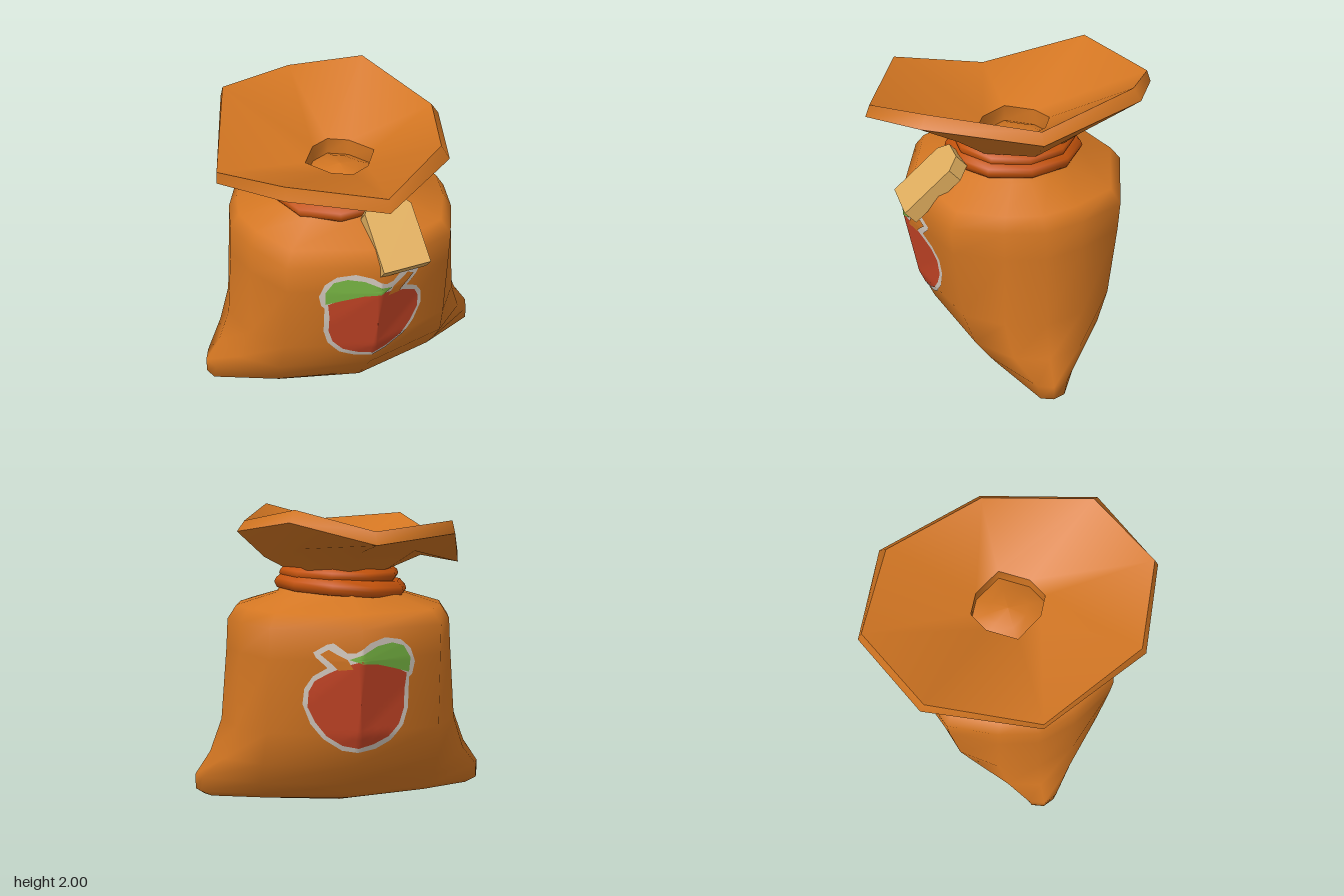
import * as THREE from 'three';

const mat = (name, color) => new THREE.MeshStandardMaterial({ name, color });
const V = (x, y, z) => new THREE.Vector3(x, y, z);

// Skin through closed loops of equal length (loops run from +x towards +z)
function loft(rows) {
  const n = rows[0].length, index = [];
  for (let r = 0; r < rows.length - 1; r++) {
    for (let i = 0; i < n; i++) {
      const a = r * n + i, b = r * n + (i + 1) % n, c = a + n, d = b + n;
      index.push(a, c, b, b, c, d);
    }
  }
  const g = new THREE.BufferGeometry().setFromPoints(rows.flat());
  g.setIndex(index);
  g.computeVertexNormals();
  return g;
}

// Full loop from a half (+x over +z to -x) or a quarter (+x to +z)
function mirrorZ(half) {
  return [...half, ...half.slice(1, -1).reverse().map(p => V(p.x, p.y, -p.z))];
}
function quarterLoop(q) {
  return mirrorZ([...q, ...q.slice(0, -1).reverse().map(p => V(-p.x, p.y, p.z))]);
}

// Flat outline (clockwise from the front) draped over the body as a thin skin
function drape(body, outline, cx, cy, lift, side) {
  const ring = [];
  outline.forEach(([x, y], i) => {
    const [nx, ny] = outline[(i + 1) % outline.length];
    for (let k = 0; k < 4; k++) ring.push([x + (nx - x) * k / 4, y + (ny - y) * k / 4]);
  });
  if (side > 0) ring.reverse();
  const rows = [], steps = 10, ray = new THREE.Raycaster();
  for (let s = 0; s <= steps; s++) {
    rows.push(ring.map(([x, y]) => {
      const px = cx + (x - cx) * s / steps, py = cy + (y - cy) * s / steps;
      ray.set(V(px + 1e-4, py, 2 * side), V(0, 0, -side));
      const hit = ray.intersectObject(body)[0];
      return V(px, py, (hit ? hit.point.z : 0.6 * side) + lift * side);
    }));
  }
  return loft(rows);
}

export function createModel() {
  const model = new THREE.Group();
  const cloth = mat('orange cloth', 0xd37622), cord = mat('dark orange cord', 0xc4530c);
  const tan = mat('tan tag', 0xe0ae5e), red = mat('red fruit', 0xc64526);
  const green = mat('green leaf', 0x78b643), pale = mat('pale border', 0xd6cbc0);
  const add = (name, geo, m, parent = model) => {
    const mesh = new THREE.Mesh(geo, m);
    mesh.name = name;
    parent.add(mesh);
    return mesh;
  };

  // Sack body: side tip x,y | near-tip x,z | corner x,z | front z,y
  const sections = [
    [0.92, 0.09, 0.88, 0.06, 0.53, 0.23, 0.38, 0.12],
    [0.98, 0.13, 0.95, 0.08, 0.56, 0.26, 0.40, 0.15],
    [0.98, 0.23, 0.94, 0.10, 0.58, 0.32, 0.46, 0.23],
    [0.88, 0.38, 0.81, 0.22, 0.58, 0.42, 0.57, 0.38],
    [0.80, 0.60, 0.73, 0.26, 0.56, 0.49, 0.66, 0.60],
    [0.76, 1.08, 0.70, 0.25, 0.55, 0.54, 0.745, 1.08],
    [0.75, 1.27, 0.69, 0.25, 0.55, 0.55, 0.745, 1.27],
    [0.69, 1.36, 0.64, 0.22, 0.50, 0.50, 0.67, 1.36],
    [0.42, 1.44, 0.40, 0.12, 0.30, 0.30, 0.42, 1.44],
    [0.32, 1.60, 0.31, 0.09, 0.23, 0.23, 0.32, 1.60],
  ];
  const bodyRows = sections.map(([tx, ty, nx, nz, cx, cz, fz, fy]) => quarterLoop([
    V(tx, ty, 0), V(nx, ty, nz), V(cx, (ty + fy) / 2, cz), V(0, fy, fz),
  ]));
  bodyRows.unshift(bodyRows[0].map(() => V(0, 0, 0)));
  const body = add('sackBody', loft(bodyRows), cloth);
  body.updateMatrixWorld();

  // Cord wound twice round the neck
  const cordRing = (name, r, h, y, tilt) => {
    const profile = [[-0.09, -0.5], [-0.02, -0.42], [0, -0.1], [-0.01, 0.15], [-0.05, 0.5], [-0.1, 0.5]]
      .map(([dr, dy]) => new THREE.Vector2(r + dr, dy * h));
    const ring = add(name, new THREE.LatheGeometry(profile, 10, Math.PI / 2), cord);
    ring.position.set(name === 'lowerCord' ? -0.012 : 0, y, 0);
    ring.rotation.z = tilt;
  };
  cordRing('lowerCord', 0.45, 0.11, 1.488, 0.07);
  cordRing('upperCord', 0.405, 0.1, 1.57, 0.02);

  // Flared mouth: underside, rim, inside and the hole
  const lipTop = mirrorZ([V(0.63, 1.91, 0), V(0.40, 2.0, 0.65), V(-0.04, 1.88, 0.915), V(-0.58, 1.93, 0.66), V(-0.815, 1.70, 0)]);
  const lipLow = mirrorZ([V(0.68, 1.84, 0), V(0.44, 1.925, 0.69), V(-0.04, 1.80, 0.945), V(-0.59, 1.85, 0.69), V(-0.82, 1.62, 0)]);
  const midHeights = [1.67, 1.75, 1.735, 1.73, 1.67, 1.73, 1.735, 1.75];
  const neck = lipLow.map((_, i) => V(0.37 * Math.cos(i * Math.PI / 4), 1.60, 0.37 * Math.sin(i * Math.PI / 4)));
  const mid = neck.map((p, i) => p.clone().lerp(lipLow[i], 0.42).setY(midHeights[i]));
  const hole = (s, y) => quarterLoop([V(0.235 * s, y, 0), V(0.125 * s, y, 0.175 * s), V(0, y, 0.24 * s)]);
  const mouth = new THREE.Group();
  mouth.name = 'flaredMouth';
  model.add(mouth);
  add('mouthUnderside', loft([neck, mid, lipLow]), cloth, mouth);
  add('mouthRim', loft([lipLow, lipTop]), cloth, mouth);
  add('mouthInside', loft([lipTop, hole(1, 1.65)]), cloth, mouth);
  add('holeWall', loft([hole(1, 1.65), hole(1, 1.54)]), cloth, mouth);
  add('holeFloor', loft([hole(1, 1.54), hole(0.55, 1.585), hole(0, 1.6)]), cloth, mouth);

  // Hanging tag with clipped top corners
  const tagShape = new THREE.Shape([[-0.157, 0], [0.157, 0], [0.157, 0.39], [0.085, 0.475], [-0.085, 0.475], [-0.157, 0.39]]
    .map(([x, y]) => new THREE.Vector2(x, y)));
  const tagGeo = new THREE.ExtrudeGeometry(tagShape, { depth: 0.105, bevelEnabled: false });
  tagGeo.translate(0, 0, -0.0525);
  const tag = add('tag', tagGeo, tan);
  tag.position.set(0.15, 1.23, 0.76);
  tag.rotation.set(-0.86, 0, 0.04);

  // Fruit emblem, front and back
  const border = [[-0.35, 0.97], [-0.365, 1.05], [-0.33, 1.14], [-0.26, 1.2], [-0.15, 1.22], [-0.05, 1.19], [0, 1.155], [0.04, 1.13],
    [0.09, 1.13], [0.17, 1.19], [0.21, 1.18], [0.29, 1.13], [0.275, 1.1], [0.205, 1.035], [0.29, 0.98], [0.34, 0.9], [0.35, 0.8],
    [0.3, 0.67], [0.22, 0.57], [0.1, 0.49], [0, 0.475], [-0.12, 0.49], [-0.22, 0.54], [-0.3, 0.64], [-0.33, 0.75], [-0.33, 0.95]];
  const fruit = [[-0.31, 0.98], [-0.2, 1.04], [-0.1, 1.08], [0, 1.08], [0.1, 1.05], [0.2, 1.0], [0.28, 0.95], [0.315, 0.88],
    [0.32, 0.78], [0.27, 0.68], [0.2, 0.59], [0.1, 0.525], [0, 0.505], [-0.1, 0.525], [-0.2, 0.57], [-0.27, 0.65], [-0.3, 0.75], [-0.3, 0.88]];
  const leaf = [[-0.325, 0.985], [-0.33, 1.08], [-0.28, 1.16], [-0.2, 1.185], [-0.1, 1.17], [0, 1.12], [0.08, 1.09], [0, 1.065],
    [-0.1, 1.055], [-0.22, 1.02]];
  const stem = [[0.055, 1.03], [0.09, 1.09], [0.15, 1.12], [0.2, 1.15], [0.25, 1.12], [0.18, 1.06], [0.14, 1.02]];
  [1, -1].forEach(side => {
    const emblem = new THREE.Group();
    emblem.name = side > 0 ? 'frontEmblem' : 'backEmblem';
    model.add(emblem);
    add('emblemBorder', drape(body, border, 0, 0.85, 0.004, side), pale, emblem);
    add('fruit', drape(body, fruit, 0, 0.8, 0.007, side), red, emblem);
    add('leaf', drape(body, leaf, -0.17, 1.09, 0.0095, side), green, emblem);
    add('stem', drape(body, stem, 0.13, 1.07, 0.0095, side), cloth, emblem);
  });
  return model;
}
